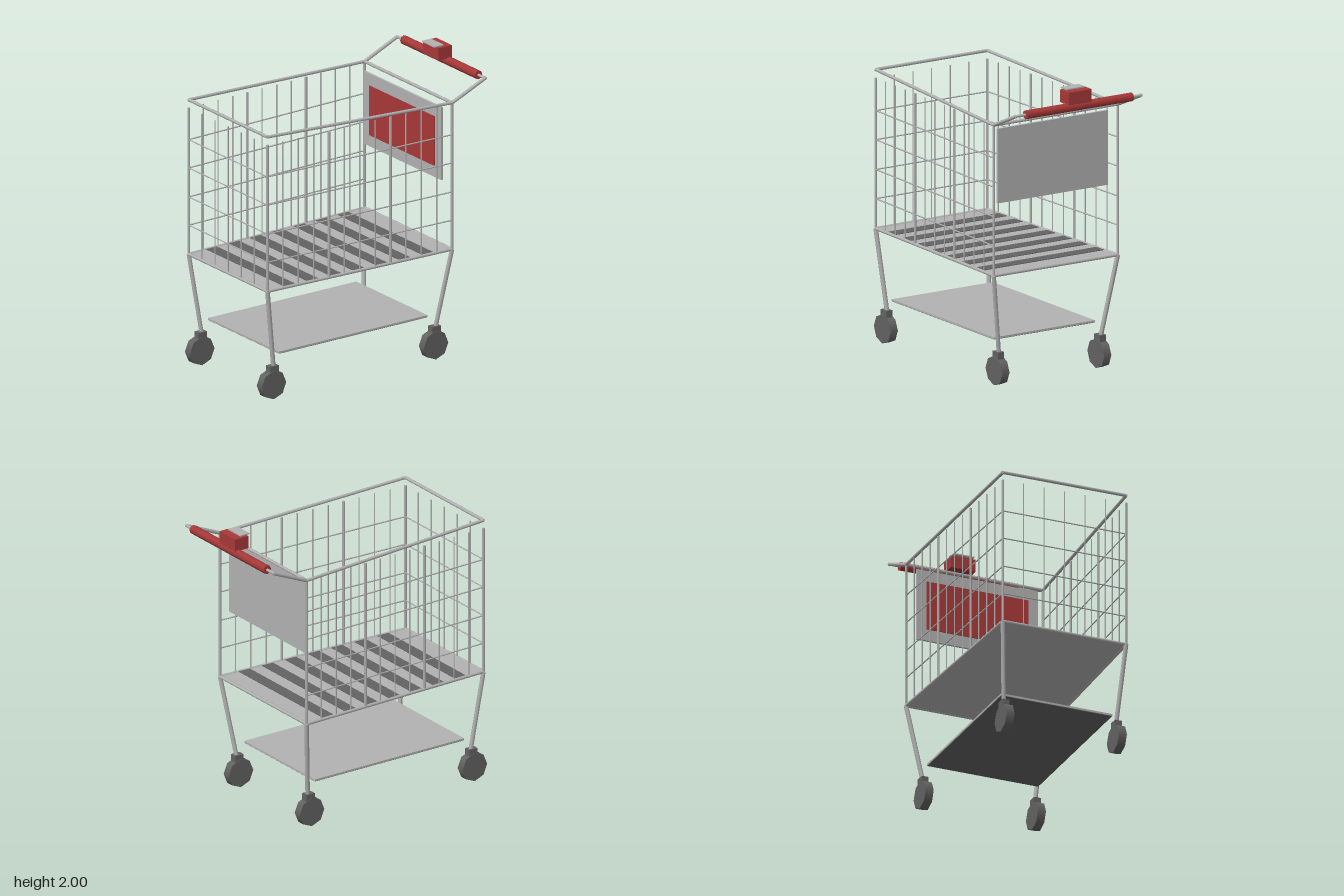
import * as THREE from 'three';

const paint = (name, color) => {
  const m = new THREE.MeshStandardMaterial({ color });
  m.name = name;
  return m;
};

export function createModel() {
  const metal = paint('light grey metal', 0xb2b2b2);
  const dark = paint('dark grey rubber', 0x636363);
  const red = paint('red plastic', 0xa83838);

  const cart = new THREE.Group();
  cart.name = 'shoppingCart';
  const V = (x, y, z) => new THREE.Vector3(x, y, z);

  const add = (name, geometry, material, parent = cart) => {
    const mesh = new THREE.Mesh(geometry, material);
    mesh.name = name;
    parent.add(mesh);
    return mesh;
  };
  const group = (name) => {
    const g = new THREE.Group();
    g.name = name;
    cart.add(g);
    return g;
  };
  // straight rod between two points
  const rod = (name, a, b, r, parent, material = metal, sides = 8) => {
    const dir = b.clone().sub(a);
    const mesh = add(name, new THREE.CylinderGeometry(r, r, dir.length(), sides), material, parent);
    mesh.position.copy(a).add(b).multiplyScalar(0.5);
    mesh.quaternion.setFromUnitVectors(V(0, 1, 0), dir.normalize());
    return mesh;
  };
  const box = (name, x0, x1, y0, y1, z0, z1, material, parent) => {
    const mesh = add(name, new THREE.BoxGeometry(x1 - x0, y1 - y0, z1 - z0), material, parent);
    mesh.position.set((x0 + x1) / 2, (y0 + y1) / 2, (z0 + z1) / 2);
    return mesh;
  };

  // basket tapers in plan from the handle end (+x) to the nose (-x)
  const X0 = -0.85, X1 = 0.59, BOTTOM = 0.76, TOP = 1.77, NOSE_TOP = 1.825;
  const halfWidth = (x) => 0.437 + (0.048 * (x - X0)) / (X1 - X0);

  // flat tapered slab that follows the basket sides
  const slab = (name, x0, x1, y, thickness, inset, material, parent) => {
    const w0 = halfWidth(x0) - inset, w1 = halfWidth(x1) - inset;
    const shape = new THREE.Shape([
      new THREE.Vector2(x0, -w0), new THREE.Vector2(x1, -w1),
      new THREE.Vector2(x1, w1), new THREE.Vector2(x0, w0),
    ]);
    const geometry = new THREE.ExtrudeGeometry(shape, { depth: thickness, bevelEnabled: false });
    geometry.rotateX(-Math.PI / 2);
    add(name, geometry, material, parent).position.y = y;
  };

  // basket floor with dark cross stripes
  const floor = group('basketFloor');
  slab('floorPlate', X0, X1, BOTTOM - 0.005, 0.008, 0, metal, floor);
  for (let i = 0; i < 7; i++) {
    const x = -0.712 + i * 0.1795;
    slab('floorStripe', x, x + 0.085, BOTTOM + 0.003, 0.004, 0.01, dark, floor);
  }

  // top rim and bottom frame
  const frame = group('basketFrame');
  for (const [y0, y1] of [[BOTTOM, BOTTOM], [NOSE_TOP, TOP]]) {
    const w0 = halfWidth(X0), w1 = halfWidth(X1);
    for (const s of [-1, 1]) rod('sideRail', V(X0, y0, s * w0), V(X1, y1, s * w1), 0.011, frame);
    rod('noseRail', V(X0, y0, -w0), V(X0, y0, w0), 0.011, frame);
    rod('rearRail', V(X1, y1, -w1), V(X1, y1, w1), 0.011, frame);
  }

  // wire sides: every fourth upright is a thicker post
  const wires = group('wireMesh');
  const levels = [0.96, 1.155, 1.355, 1.55];
  for (const s of [-1, 1]) {
    for (let i = 0; i <= 12; i++) {
      const x = X0 + ((X1 - X0) * i) / 12, z = s * halfWidth(x);
      const post = i % 4 === 0;
      rod(post ? 'post' : 'uprightWire', V(x, BOTTOM, z), V(x, TOP, z), post ? 0.009 : 0.0045, wires, metal, 6);
    }
    for (const y of levels)
      rod('sideWire', V(X0, y, s * halfWidth(X0)), V(X1, y, s * halfWidth(X1)), 0.0045, wires, metal, 6);
  }
  // wire nose
  const nose = halfWidth(X0);
  for (let i = 1; i < 6; i++) {
    const z = nose * (i / 3 - 1);
    rod('noseUpright', V(X0, BOTTOM, z), V(X0, TOP, z), 0.0045, wires, metal, 6);
  }
  for (const y of levels) rod('noseWire', V(X0, y, -nose), V(X0, y, nose), 0.0045, wires, metal, 6);

  // rear flap with a red inner plate
  const flap = group('rearFlap');
  box('flapPanel', 0.543, 0.558, 1.23, 1.73, -0.43, 0.43, metal, flap);
  box('flapInlay', 0.536, 0.543, 1.31, 1.65, -0.36, 0.36, red, flap);

  // handle
  const handle = group('handle');
  const HX = 0.853, HY = 1.885;
  for (const s of [-1, 1]) {
    rod('handleArm', V(X1, TOP, s * halfWidth(X1)), V(HX, HY, s * 0.487), 0.012, handle);
  }
  rod('handleBar', V(HX, HY, -0.495), V(HX, HY, 0.495), 0.01, handle);
  rod('handleGrip', V(HX, HY, -0.415), V(HX, HY, 0.415), 0.03, handle, red);
  box('coinLock', 0.77, 0.876, 1.905, 1.99, -0.088, 0.088, red, handle);
  box('coinPlate', 0.75, 0.822, 1.992, 2.0, -0.07, 0.07, metal, handle);

  // lower tray with a dark underside
  const tray = group('lowerTray');
  box('trayPlate', -0.727, 0.46, 0.293, 0.306, -0.395, 0.395, metal, tray);
  box('trayUnderside', -0.724, 0.457, 0.29, 0.293, -0.392, 0.392, dark, tray);

  // legs and casters
  for (const [x, wheelX, legX] of [[X0, -0.79, -0.775], [X1, 0.505, 0.52]]) {
    for (const s of [-1, 1]) {
      const z = s * 0.398;
      rod('leg', V(x, BOTTOM, s * halfWidth(x)), V(legX, 0.21, z), 0.015, undefined);
      box('casterFork', wheelX - 0.025, wheelX + 0.042, 0.17, 0.225, z - 0.024, z + 0.024, dark);
      const geometry = new THREE.CylinderGeometry(0.098, 0.098, 0.056, 8);
      geometry.rotateX(Math.PI / 2);
      add('wheel', geometry, dark).position.set(wheelX, 0.098, z);
    }
  }
  return cart;
}
